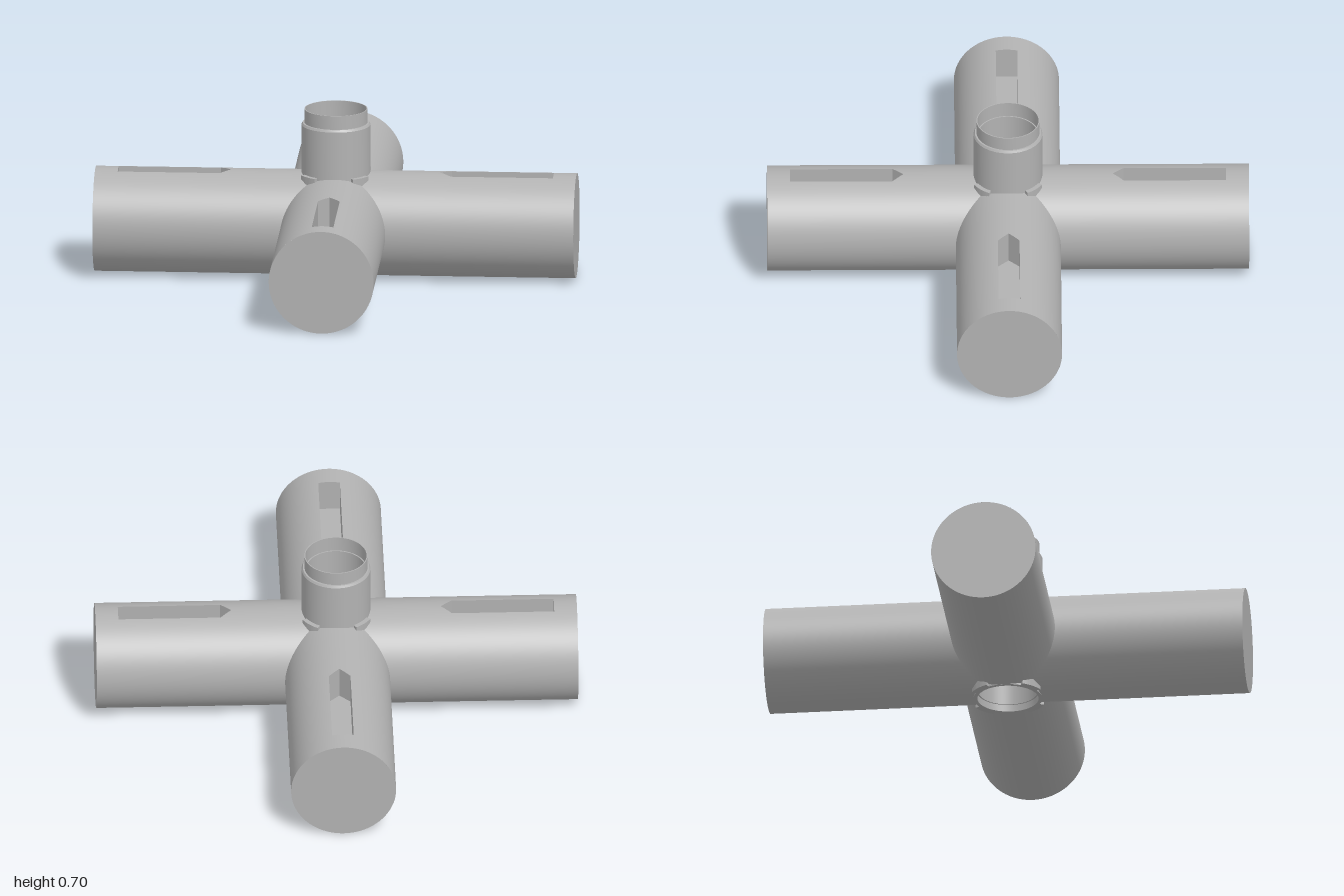
import * as THREE from 'three';
import { toCreasedNormals } from 'three/addons/utils/BufferGeometryUtils.js';
import { ParametricGeometry } from 'three/addons/geometries/ParametricGeometry.js';

const R = 0.218;                 // arm radius, also the height of its axis
const COLLAR = 0.141;            // collar radius
const SLOT = { tip: 0.435, end: 0.905, half: 0.045, floor: 0.3 };
const lerp = THREE.MathUtils.lerp;

export function createModel() {
  const grey = new THREE.MeshStandardMaterial({ color: 0xb2b2b2, side: THREE.DoubleSide });
  grey.name = 'grey';
  const model = new THREE.Group();
  model.name = 'crossConnector';

  const add = (parent, name, geometry) => {
    const mesh = new THREE.Mesh(geometry, grey);
    mesh.name = name;
    parent.add(mesh);
    return mesh;
  };

  // Arm skin between two angles, running along x from one limit to another
  const skin = (t0, t1, from, to, slices) => new ParametricGeometry((u, v, p) => {
    const t = lerp(t0, t1, u), z = R * Math.sin(t);
    p.set(lerp(from(z), to(z), v), R + R * Math.cos(t), z);
  }, slices, 1);

  // Arms begin at the mitre with their neighbours or at the collar
  const start = z => Math.max(Math.abs(z), Math.sqrt(Math.max(0, COLLAR ** 2 - z * z)));
  const slotTip = z => SLOT.tip + Math.abs(z);
  const slotEnd = () => SLOT.end;
  const armEnd = () => 1;
  const a = Math.asin(SLOT.half / R);

  const outline = [
    [SLOT.tip + SLOT.half, -SLOT.half], [SLOT.end, -SLOT.half], [SLOT.end, SLOT.half],
    [SLOT.tip + SLOT.half, SLOT.half], [SLOT.tip, 0],
  ];

  for (let k = 0; k < 4; k++) {
    const arm = new THREE.Group();
    arm.name = 'arm' + (k + 1);
    arm.rotation.y = k * Math.PI / 2;
    model.add(arm);

    add(arm, 'armSkin', skin(a, 2 * Math.PI - a, start, armEnd, 120));
    add(arm, 'armTopInner', skin(-a, a, start, slotTip, 12));
    add(arm, 'armTopOuter', skin(-a, a, slotEnd, armEnd, 12));

    const cap = add(arm, 'endCap', new THREE.CircleGeometry(R, 96));
    cap.rotation.y = Math.PI / 2;
    cap.position.set(1, R, 0);

    // Pointed slot: walls rise from a flat floor to the curved skin
    outline.forEach(([x0, z0], i) => {
      const [x1, z1] = outline[(i + 1) % outline.length];
      add(arm, 'slotWall', new ParametricGeometry((u, v, p) => {
        const z = lerp(z0, z1, u);
        p.set(lerp(x0, x1, u), lerp(SLOT.floor, R + Math.sqrt(R * R - z * z), v), z);
      }, 6, 1));
    });
    const shape = new THREE.Shape(outline.map(([x, z]) => new THREE.Vector2(x, z)));
    const floor = add(arm, 'slotFloor', new THREE.ShapeGeometry(shape));
    floor.rotation.x = -Math.PI / 2;
    floor.position.y = SLOT.floor;
  }

  // Open collar through the hub, with a thinner neck and an inner ledge
  const profile = [
    [0.127, 0], [0.143, 0], [0.143, 0.638], [0.138, 0.647], [0.131, 0.647],
    [0.131, 0.705], [0.127, 0.705], [0.127, 0.64], [0.122, 0.64], [0.122, 0.03],
    [0.127, 0.03], [0.127, 0],
  ].map(([r, y]) => new THREE.Vector2(r, y));
  add(model, 'collar', toCreasedNormals(new THREE.LatheGeometry(profile, 72), 0.5));

  // Curved tabs in the valleys between arms, above and below
  const tab = (y0, y1, half) => {
    const s = new THREE.Shape();
    s.absarc(0, 0, 0.162, -half, half, false);
    s.absarc(0, 0, 0.135, half, -half, true);
    const g = new THREE.ExtrudeGeometry(s, { depth: y1 - y0, bevelEnabled: false, curveSegments: 10 });
    g.rotateX(-Math.PI / 2).translate(0, y0, 0);
    return toCreasedNormals(g, 0.5);
  };
  for (let k = 0; k < 4; k++) {
    const turn = Math.PI / 4 + k * Math.PI / 2;
    add(model, 'upperTab', tab(0.36, 0.437, 0.27)).rotation.y = turn;
    add(model, 'lowerTab', tab(0, 0.06, 0.3)).rotation.y = turn;
  }
  return model;
}
